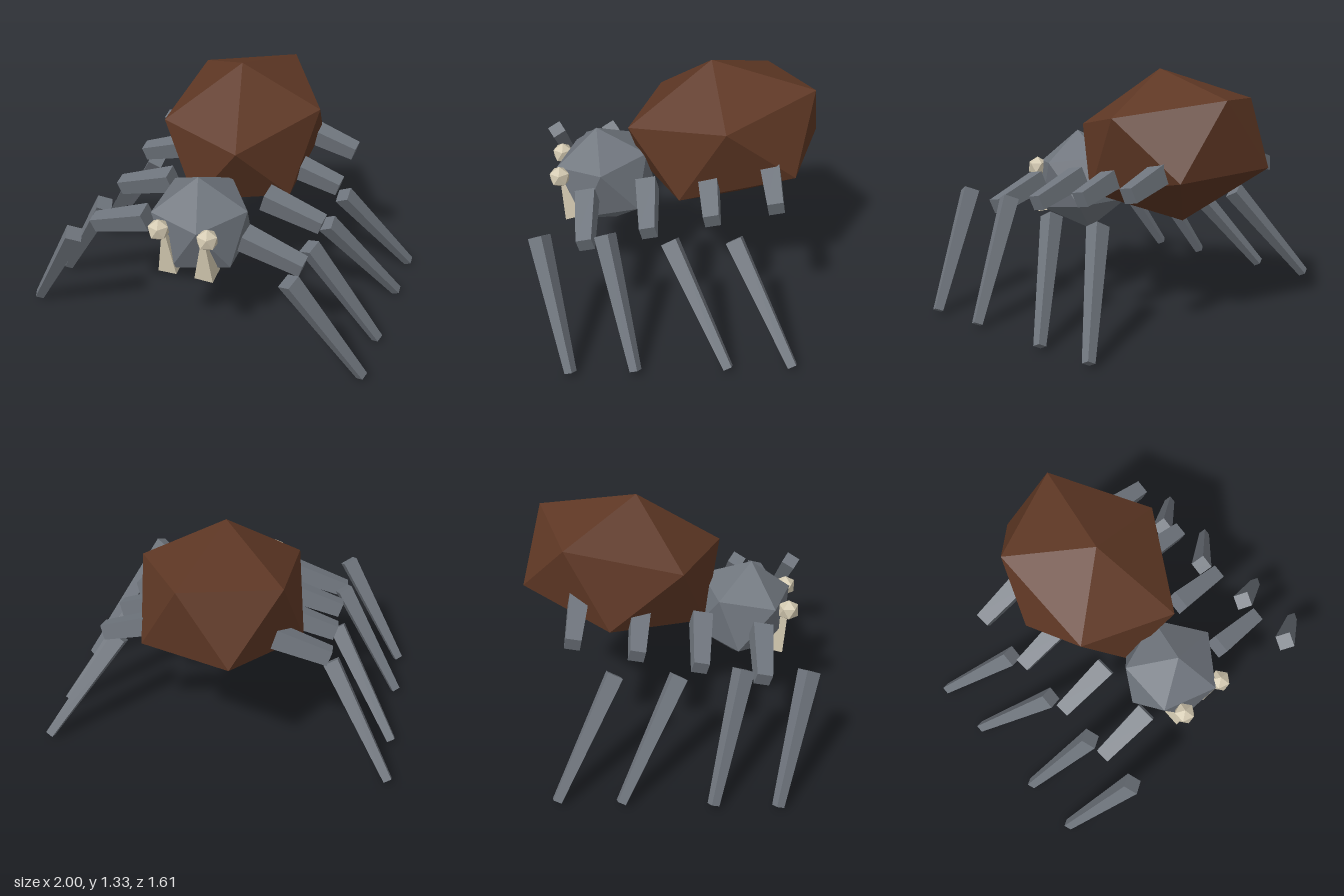
import * as THREE from 'three';

const mat = (name, color) => {
  const m = new THREE.MeshStandardMaterial({ color, flatShading: true });
  m.name = name;
  return m;
};

export function createModel() {
  const model = new THREE.Group();
  model.name = 'spider';
  const brown = mat('abdomen brown', 0x5e3724);
  const grey = mat('shell grey', 0x6f757d);
  const bone = mat('bone', 0xd2c8b0);

  // Icosahedron standing on one corner
  const gem = (name, material, pos, radii, tilt = 0) => {
    const geo = new THREE.IcosahedronGeometry(1, 0);
    geo.rotateZ(-Math.atan(2 / (1 + Math.sqrt(5))));
    geo.scale(...radii).rotateX(tilt);
    geo.computeVertexNormals();
    const mesh = new THREE.Mesh(geo, material);
    mesh.name = name;
    mesh.position.set(...pos);
    model.add(mesh);
  };

  // Tapered square bar from a (width wa) to b (width wb), twisted about its axis
  const down = new THREE.Vector3(0, -1, 0);
  const bar = (name, material, a, b, wa, wb, twist = 0) => {
    const start = new THREE.Vector3(...a), end = new THREE.Vector3(...b);
    const dir = end.clone().sub(start);
    const geo = new THREE.CylinderGeometry(wa * Math.SQRT1_2, wb * Math.SQRT1_2, dir.length(), 4);
    geo.rotateY(Math.PI / 4 + twist);
    const mesh = new THREE.Mesh(geo, material);
    mesh.name = name;
    mesh.position.copy(start).add(end).multiplyScalar(0.5);
    mesh.quaternion.setFromUnitVectors(down, dir.normalize());
    model.add(mesh);
  };

  // Body
  gem('abdomen', brown, [0, 0.915, -0.265], [0.5, 0.424, 0.607], 0.2);
  gem('head', grey, [0, 0.635, 0.413], [0.3, 0.3, 0.3], 0.15);

  // Lower legs, front to back: knee z, knee y, foot z, twist
  const shins = [
    [0.745, 0.615, 0.595, -0.45],
    [0.405, 0.615, 0.26, -0.45],
    [0.068, 0.565, -0.22, -0.12],
    [-0.27, 0.565, -0.555, -0.12],
  ];

  for (const s of [1, -1]) {
    const side = s > 0 ? 'left' : 'right';
    // Face
    gem(side + 'Eye', bone, [s * 0.137, 0.7, 0.667], [0.062, 0.062, 0.062]);
    bar(side + 'Fang', bone, [s * 0.112, 0.71, 0.665], [s * 0.105, 0.442, 0.597], 0.01, 0.105);
    // Legs, with a gap between the upper and lower parts
    shins.forEach(([kneeZ, kneeY, footZ, twist], i) => {
      const z = 0.51 - 0.33 * i, rise = 0.066 * i;
      bar(side + 'UpperLeg' + (i + 1), grey,
        [s * 0.277, 0.656 + rise, z], [s * 0.605, 0.556 + rise, z], 0.11, 0.083, -s * 0.2);
      bar(side + 'LowerLeg' + (i + 1), grey,
        [s * 0.6, kneeY, kneeZ], [s * 0.973, 0.018, footZ], 0.085, 0.046, s * twist);
    });
  }
  return model;
}
